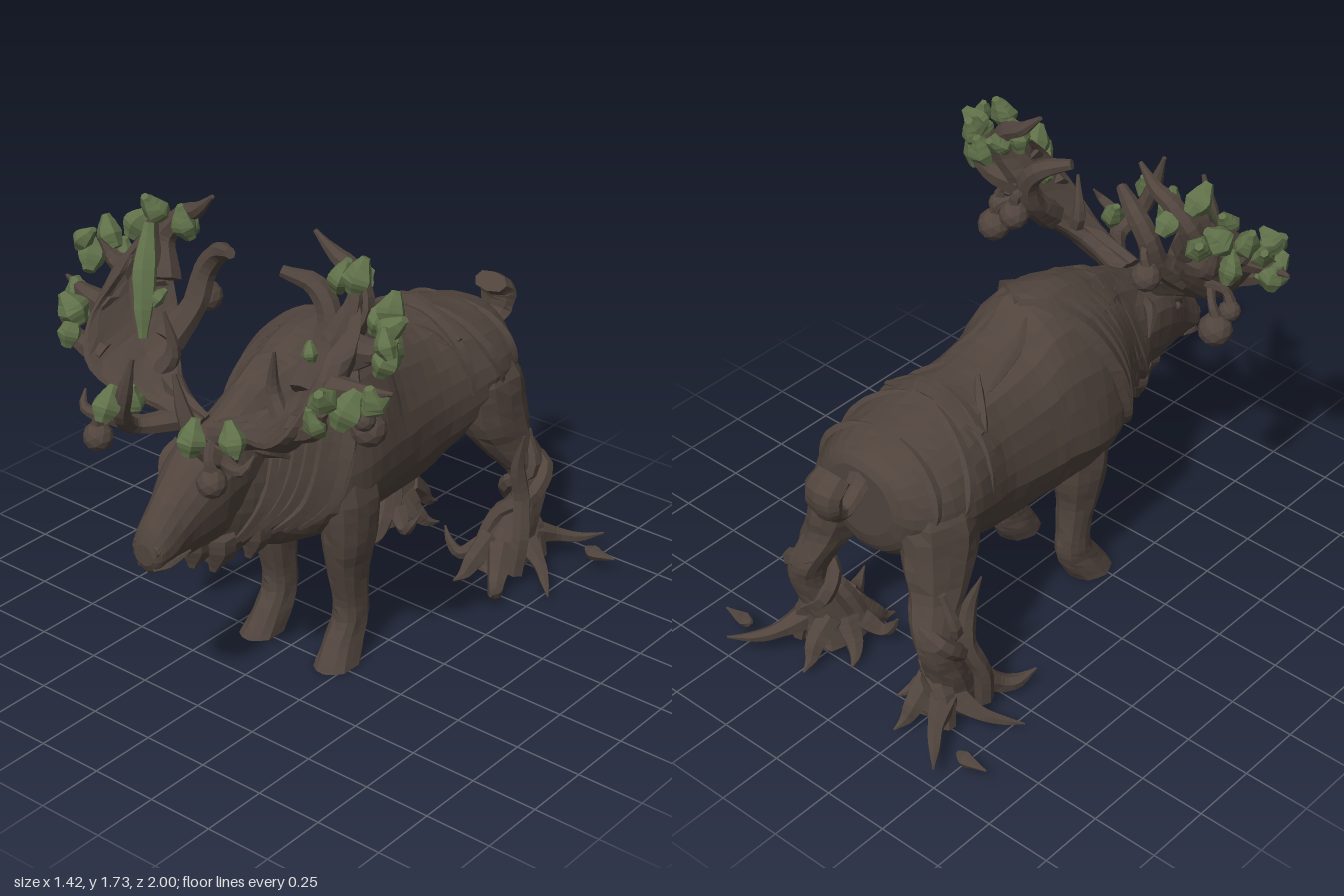
import * as THREE from 'three';

const V = (x, y, z) => new THREE.Vector3(x, y, z);
const hash = n => { const s = Math.sin(n * 127.1 + 3.7) * 43758.5453; return s - Math.floor(s); };

// Catmull-Rom sample of rows of numbers at row position u
function sample(rows, u) {
  const last = rows.length - 1, i = Math.min(Math.floor(u), last - 1), t = u - i;
  const [a, b, c, d] = [rows[Math.max(i - 1, 0)], rows[i], rows[i + 1], rows[Math.min(i + 2, last)]];
  return b.map((_, k) => 0.5 * (2 * b[k] + (c[k] - a[k]) * t + (2 * a[k] - 5 * b[k] + 4 * c[k] - d[k]) * t * t
    + (3 * b[k] - a[k] - 3 * c[k] + d[k]) * t * t * t));
}

// Closed, outward-facing skin over a list of rings
function loft(rings) {
  const n = rings[0].length, pos = [], idx = [];
  rings.forEach(r => r.forEach(p => pos.push(p.x, p.y, p.z)));
  for (let i = 0; i < rings.length - 1; i++) for (let j = 0; j < n; j++) {
    const a = i * n + j, b = i * n + (j + 1) % n;
    idx.push(a, a + n, b, b, a + n, b + n);
  }
  [0, rings.length - 1].forEach((i, end) => {
    const c = rings[i].reduce((s, p) => s.add(p), V(0, 0, 0)).divideScalar(n), ci = pos.length / 3;
    pos.push(c.x, c.y, c.z);
    for (let j = 0; j < n; j++) {
      const a = i * n + j, b = i * n + (j + 1) % n;
      idx.push(ci, end ? b : a, end ? a : b);
    }
  });
  const at = k => V(pos[3 * k], pos[3 * k + 1], pos[3 * k + 2]);
  let volume = 0;
  for (let k = 0; k < idx.length; k += 3) volume += at(idx[k]).dot(at(idx[k + 1]).cross(at(idx[k + 2])));
  if (volume < 0) idx.reverse();
  const g = new THREE.BufferGeometry();
  g.setAttribute('position', new THREE.Float32BufferAttribute(pos, 3));
  g.setIndex(idx);
  g.computeVertexNormals();
  return g;
}

// Uneven bark ridges running along a part
const bark = (i, j, amp) => 1 + amp * (hash(j) - 0.5) + amp * 0.7 * (hash(j * 31 + Math.floor(i / 2)) - 0.5);

// Tapered tube through [x, y, z, radius] points; flat squashes one axis
function limb(rows, sides = 6, flat = 1, amp = 0.15) {
  const curve = new THREE.CatmullRomCurve3(rows.map(r => V(r[0], r[1], r[2])));
  const seg = (rows.length - 1) * 4, f = curve.computeFrenetFrames(seg);
  return loft(Array.from({ length: seg + 1 }, (_, i) => {
    const u = i / seg, r = Math.max(sample(rows, curve.getUtoTmapping(u) * (rows.length - 1))[3], 0.003);
    const c = curve.getPointAt(u);
    return Array.from({ length: sides }, (_, j) => {
      const a = j / sides * Math.PI * 2, k = r * bark(i, j, amp);
      return c.clone().addScaledVector(f.normals[i], Math.cos(a) * k).addScaledVector(f.binormals[i], Math.sin(a) * k * flat);
    });
  }));
}

// Upright leg from [x, y, z, halfWidth, halfDepth] sections
const column = (rows, sides = 14) => loft(Array.from({ length: (rows.length - 1) * 3 + 1 }, (_, i) => {
  const [x, y, z, rx, rz] = sample(rows, i / 3);
  return Array.from({ length: sides }, (_, j) => {
    const a = j / sides * Math.PI * 2, k = bark(i, j, 0.14);
    return V(x + Math.cos(a) * rx * k, y, z + Math.sin(a) * rz * k);
  });
}));

// Point on a trunk made of [z, top, bottom, halfWidth, widestY] sections, narrowing to a keel below
function trunkPoint(rows, u, a, k = 1) {
  const [z, top, bot, w, mid] = sample(rows, u), c = Math.cos(a) * k;
  return V(Math.sin(a) * w * k * (c < 0 ? 1 - 0.25 * c * c : 1), mid + c * (c > 0 ? top - mid : mid - bot), z);
}
const trunk = (rows, sides, amp) => loft(Array.from({ length: (rows.length - 1) * 3 + 1 }, (_, i) =>
  Array.from({ length: sides }, (_, j) => trunkPoint(rows, i / 3, j / sides * Math.PI * 2, bark(i, j, amp)))));

const BODY = [[-0.8, 0.99, 0.72, 0.15, 0.86], [-0.77, 1.03, 0.64, 0.22, 0.85], [-0.68, 1.06, 0.58, 0.28, 0.84],
  [-0.55, 1.09, 0.54, 0.3, 0.83], [-0.43, 1.12, 0.49, 0.28, 0.8], [-0.3, 1.12, 0.43, 0.26, 0.78],
  [-0.1, 1.17, 0.43, 0.27, 0.76], [0, 1.25, 0.44, 0.285, 0.76], [0.15, 1.26, 0.46, 0.295, 0.74],
  [0.28, 1.23, 0.47, 0.265, 0.73], [0.37, 1.2, 0.48, 0.2, 0.74], [0.46, 1.16, 0.52, 0.15, 0.78],
  [0.58, 1.09, 0.55, 0.13, 0.82], [0.68, 1.04, 0.58, 0.09, 0.83]];
const HEAD = [[0.5, 1.1, 0.66, 0.125, 0.92], [0.62, 1.06, 0.63, 0.14, 0.92], [0.7, 1.04, 0.61, 0.135, 0.9],
  [0.78, 1, 0.62, 0.115, 0.85], [0.86, 0.925, 0.635, 0.09, 0.78], [0.92, 0.86, 0.62, 0.078, 0.73],
  [0.965, 0.8, 0.635, 0.066, 0.71], [0.985, 0.75, 0.67, 0.04, 0.7]];

// Strips lying on the body: [startSection, startAngle, endSection, endAngle, radius]
const STRIPS = [[7, 0, 9.7, 1.9, 0.034], [7.4, 0.3, 10, 2.2, 0.026], [7.9, 0.2, 10.5, 2.3, 0.026], [8.3, 0.3, 11, 2.4, 0.028],
  [8.8, 0.3, 11.5, 2.4, 0.026], [9.3, 0.3, 12, 2.5, 0.026], [9.9, 0.4, 12.5, 2.6, 0.024], [10.6, 0.5, 12.6, 2.8, 0.022],
  [4.2, 0, 3.9, 1.5, 0.024], [3.6, 0.2, 2.6, 1.7, 0.022], [2.2, 0.2, 1.7, 1.7, 0.02], [5.2, 0.2, 4.2, 0.9, 0.018], [6.8, 0.2, 5, 0.5, 0.016]];

const FRONT_LEG = [[0.17, 0.85, 0.18, 0.08, 0.11], [0.195, 0.66, 0.175, 0.1, 0.12], [0.195, 0.5, 0.17, 0.09, 0.11],
  [0.187, 0.36, 0.165, 0.07, 0.085], [0.185, 0.25, 0.15, 0.06, 0.072], [0.185, 0.16, 0.145, 0.06, 0.075],
  [0.185, 0.08, 0.185, 0.066, 0.09], [0.195, 0, 0.235, 0.077, 0.09]];
const HIND_LEG = [[0.14, 0.97, -0.6, 0.07, 0.1], [0.19, 0.82, -0.61, 0.12, 0.16], [0.22, 0.66, -0.63, 0.105, 0.155],
  [0.25, 0.54, -0.68, 0.085, 0.12], [0.29, 0.43, -0.75, 0.07, 0.09], [0.31, 0.34, -0.76, 0.064, 0.072],
  [0.3, 0.24, -0.72, 0.075, 0.08], [0.28, 0.13, -0.68, 0.09, 0.11], [0.265, 0.045, -0.67, 0.1, 0.13]];

const ROOTS = [
  [[0.33, 0.14, -0.76, 0.05], [0.38, 0.1, -0.86, 0.03], [0.44, 0.08, -0.93, 0.02], [0.5, 0.09, -1, 0.004]],
  [[0.33, 0.12, -0.72, 0.05], [0.43, 0.07, -0.68, 0.028], [0.49, 0.04, -0.63, 0.018], [0.54, 0.02, -0.58, 0.004]],
  [[0.31, 0.14, -0.6, 0.06], [0.36, 0.05, -0.5, 0.035], [0.39, 0.04, -0.45, 0.028], [0.42, 0.07, -0.38, 0.004]],
  [[0.24, 0.16, -0.73, 0.05], [0.24, 0.09, -0.81, 0.04], [0.23, 0.04, -0.85, 0.025], [0.22, 0.02, -0.9, 0.004]],
  [[0.2, 0.1, -0.62, 0.04], [0.13, 0.06, -0.58, 0.025], [0.09, 0.1, -0.57, 0.016], [0.06, 0.15, -0.58, 0.004]],
  [[0.25, 0.16, -0.62, 0.05], [0.22, 0.07, -0.54, 0.04], [0.21, 0.03, -0.5, 0.025], [0.2, 0.02, -0.45, 0.004]],
  [[0.22, 0.14, -0.68, 0.05], [0.16, 0.06, -0.7, 0.035], [0.13, 0.03, -0.73, 0.02], [0.11, 0.02, -0.77, 0.004]],
  [[0.5, 0.08, -0.88, 0.008], [0.53, 0.07, -0.88, 0.028], [0.63, 0.075, -0.88, 0.004]]];
const VINES = [
  [[0.37, 0.05, -0.6, 0.035], [0.38, 0.2, -0.62, 0.035], [0.35, 0.33, -0.66, 0.034], [0.34, 0.47, -0.64, 0.03], [0.38, 0.62, -0.62, 0.004]],
  [[0.2, 0.08, -0.6, 0.03], [0.25, 0.24, -0.66, 0.035], [0.36, 0.33, -0.71, 0.034], [0.35, 0.42, -0.8, 0.034], [0.25, 0.47, -0.79, 0.03], [0.24, 0.58, -0.64, 0.02]],
  [[0.36, 0.04, -0.78, 0.03], [0.33, 0.18, -0.77, 0.04], [0.24, 0.28, -0.75, 0.035], [0.26, 0.36, -0.69, 0.03], [0.35, 0.43, -0.72, 0.028], [0.31, 0.58, -0.74, 0.015]]];

const PALM = [ // front edge xyz, back edge xyz
  [0.04, 1.02, 0.7, 0.05, 1.04, 0.6], [0.18, 1.08, 0.71, 0.19, 1.14, 0.57], [0.34, 1.13, 0.77, 0.29, 1.25, 0.47],
  [0.44, 1.21, 0.78, 0.36, 1.38, 0.42], [0.48, 1.33, 0.71, 0.42, 1.52, 0.41], [0.46, 1.44, 0.6, 0.44, 1.58, 0.43]];
const TINES = [
  [[0.12, 1.05, 0.68, 0.04], [0.2, 1.05, 0.8, 0.032], [0.17, 1.13, 0.89, 0.032], [0.13, 1.24, 0.91, 0.028], [0.09, 1.37, 0.91, 0.008]],
  [[0.19, 1.05, 0.78, 0.03], [0.27, 1.08, 0.86, 0.025], [0.35, 1.1, 0.88, 0.018], [0.37, 1.15, 0.85, 0.004]],
  [[0.3, 1.22, 0.52, 0.055], [0.28, 1.33, 0.4, 0.045], [0.27, 1.44, 0.36, 0.042], [0.21, 1.52, 0.36, 0.038], [0.11, 1.56, 0.41, 0.02]],
  [[0.38, 1.4, 0.45, 0.06], [0.43, 1.52, 0.39, 0.045], [0.36, 1.62, 0.36, 0.036], [0.3, 1.65, 0.36, 0.028], [0.22, 1.72, 0.37, 0.008]],
  [[0.42, 1.45, 0.48, 0.05], [0.44, 1.56, 0.44, 0.03], [0.43, 1.64, 0.42, 0.01]],
  [[0.42, 1.2, 0.7, 0.05], [0.52, 1.24, 0.72, 0.035], [0.56, 1.32, 0.75, 0.015]],
  [[0.46, 1.33, 0.62, 0.05], [0.59, 1.35, 0.61, 0.035], [0.71, 1.37, 0.58, 0.006]],
  [[0.45, 1.43, 0.5, 0.05], [0.57, 1.43, 0.48, 0.035], [0.62, 1.51, 0.5, 0.012]],
  [[0.4, 1.35, 0.47, 0.06], [0.51, 1.4, 0.4, 0.035], [0.55, 1.5, 0.38, 0.012]],
  [[0.27, 1.14, 0.6, 0.035], [0.22, 1.22, 0.58, 0.028], [0.24, 1.38, 0.6, 0.006]]];
const FRUIT = [[0.51, 1.13, 0.45, 0.062], [0.25, 1.04, 0.92, 0.052], [0.3, 1.32, 0.32, 0.055], [0.53, 1.19, 0.5, 0.04]];
const LEAVES = [[0.185, 1.19, 0.94, 1.05], [0.22, 1.13, 0.79, 1.05], [0.44, 1.64, 0.42, 1.05], [0.34, 1.6, 0.38, 1.05], [0.38, 1.57, 0.33, 0.9],
  [0.55, 1.54, 0.38, 1], [0.49, 1.49, 0.37, 1], [0.61, 1.52, 0.46, 1], [0.64, 1.45, 0.53, 1.05], [0.58, 1.43, 0.42, 1.05], [0.65, 1.51, 0.54, 0.85],
  [0.59, 1.31, 0.66, 1.15], [0.54, 1.35, 0.73, 1], [0.64, 1.33, 0.6, 0.95], [0.53, 1.28, 0.75, 1], [0.33, 1.38, 0.53, 0.6]];

export function createModel() {
  const model = new THREE.Group();
  const wood = new THREE.MeshStandardMaterial({ name: 'dark bark', color: 0x50443d, flatShading: true });
  const green = new THREE.MeshStandardMaterial({ name: 'leaf green', color: 0x5f7049, flatShading: true });
  const add = (name, geometry, material = wood) => {
    const m = new THREE.Mesh(geometry, material);
    m.name = name;
    model.add(m);
    return m;
  };

  add('body', trunk(BODY, 30, 0.035));
  add('head', trunk(HEAD, 18, 0.05));
  add('tail', limb([[0, 1, -0.74, 0.06], [0, 0.91, -0.82, 0.045], [0, 0.87, -0.89, 0.05], [0, 0.91, -0.95, 0.07],
    [0, 0.99, -0.96, 0.085], [0, 1.03, -0.91, 0.075]], 8, 0.55));
  add('backRidge', limb([[-0.22, 1.03, -0.43, 0.01], [0, 1.115, -0.44, 0.035], [0.22, 1.03, -0.43, 0.01]]));

  // Beard and throat locks
  for (let i = 0; i < 6; i++) {
    const z = 0.74 - i * 0.06, x = [0, 0.05, -0.04][i % 3], drop = 0.015 + hash(i) * 0.04;
    add('beardLock', limb([[x, 0.68 - i * 0.01, z, 0.06], [x, 0.62 - i * 0.01, z, 0.055], [x * 0.8, 0.58 - i * 0.01 - drop, z + 0.015, 0.015]], 7));
  }

  for (const s of [1, -1]) {
    const side = s > 0 ? 'left' : 'right';
    const flip = rows => rows.map(([x, ...rest]) => [x * s, ...rest]);
    // The right foreleg stands a little nearer the middle
    add(side + 'FrontLeg', column(flip(FRONT_LEG))).position.x = s > 0 ? 0 : 0.04;
    add(side + 'HindLeg', column(flip(HIND_LEG)));
    ROOTS.forEach(r => add(side + 'Root', limb(flip(r))));
    VINES.forEach(r => add(side + 'Vine', limb(flip(r))));

    // Mane strands and bark folds hugging the body
    STRIPS.forEach(([u0, a0, u1, a1, r]) => add(side + 'BarkFold', limb(Array.from({ length: 7 }, (_, i) => {
      const t = i / 6, p = trunkPoint(BODY, u0 + (u1 - u0) * t, (a0 + (a1 - a0) * t) * s, 0.975);
      return [p.x, p.y, p.z, r * (0.4 + Math.sin(Math.PI * t) * 0.8)];
    }), 5)));

    // Face
    add(side + 'Ear', limb(flip([[0.1, 0.99, 0.58, 0.03], [0.16, 0.98, 0.54, 0.045], [0.2, 0.93, 0.48, 0.008]]), 6, 0.5));
    add(side + 'Brow', limb(flip([[0.098, 0.99, 0.7, 0.015], [0.114, 0.94, 0.75, 0.022], [0.1, 0.88, 0.79, 0.01]]), 5));
    add(side + 'Eye', new THREE.IcosahedronGeometry(0.018, 1)).position.set(0.118 * s, 0.9, 0.745);
    add(side + 'Nostril', new THREE.TorusGeometry(0.018, 0.01, 5, 8)).position.set(0.035 * s, 0.73, 0.97);
    add(side + 'Lip', limb(flip([[0.025, 0.66, 0.97, 0.012], [0.065, 0.675, 0.93, 0.014], [0.084, 0.7, 0.85, 0.004]]), 5));

    // Cupped antler palm
    const rings = Array.from({ length: 16 }, (_, i) => {
      const u = i / 3, r = sample(PALM, u), q = sample(PALM, Math.min(u + 0.1, 5)), p = sample(PALM, Math.max(u - 0.1, 0));
      const F = V(r[0] * s, r[1], r[2]), B = V(r[3] * s, r[4], r[5]);
      const tan = V((q[0] + q[3] - p[0] - p[3]) * s, q[1] + q[4] - p[1] - p[4], q[2] + q[5] - p[2] - p[5]);
      const half = F.clone().sub(B).multiplyScalar(0.5), thin = tan.cross(half).normalize().multiplyScalar(s);
      const mid = F.clone().add(B).multiplyScalar(0.5), thick = 0.05 - u * 0.005, cup = Math.min(u, 2) * 0.02;
      return Array.from({ length: 14 }, (_, j) => {
        const a = j / 14 * Math.PI * 2, c = Math.cos(a);
        return mid.clone().addScaledVector(half, c)
          .addScaledVector(thin, Math.sin(a) * thick * bark(i, j, 0.5)).add(V(cup * s * (1 - c * c), -cup * (1 - c * c), 0));
      });
    });
    add(side + 'AntlerPalm', loft(rings));
    TINES.forEach(r => add(side + 'AntlerTine', limb(flip(r), 7)));

    // Hanging fruit with stems
    FRUIT.forEach(([x, y, z, r]) => {
      add(side + 'Fruit', new THREE.IcosahedronGeometry(r, 1)).position.set(x * s, y, z);
      add(side + 'FruitStem', limb([[x * s, y + r * 0.8, z, 0.022], [x * s * 0.96, y + r + 0.03, z, 0.016],
        [x * s * 0.85, y + r + 0.06, z + (z < 0.5 ? 0.06 : -0.04), 0.016]], 5));
    });

    // Leaf buds, chunky pods narrowing towards the tip
    LEAVES.forEach(([x, y, z, k], i) => {
      const h = 0.06 * k, r = (0.04 + hash(i + 7) * 0.012) * k;
      const leaf = add(side + 'Leaf', limb([[0, -h, 0, r * 0.5], [0, -h * 0.1, 0, r * 1.1], [0.01, h, 0, r * 0.35]], 6, 0.85, 0.3), green);
      leaf.position.set(x * s, y, z);
      leaf.rotation.set(hash(i) - 0.5, hash(i + 40) * 3, (hash(i + 80) - 0.5) * 1.6 * s);
    });
  }

  // Long moss patch on the right antler
  add('mossPatch', limb([[-0.34, 1.25, 0.6, 0.015], [-0.36, 1.35, 0.57, 0.034], [-0.395, 1.47, 0.52, 0.042], [-0.425, 1.6, 0.46, 0.02]], 6), green);
  return model;
}
